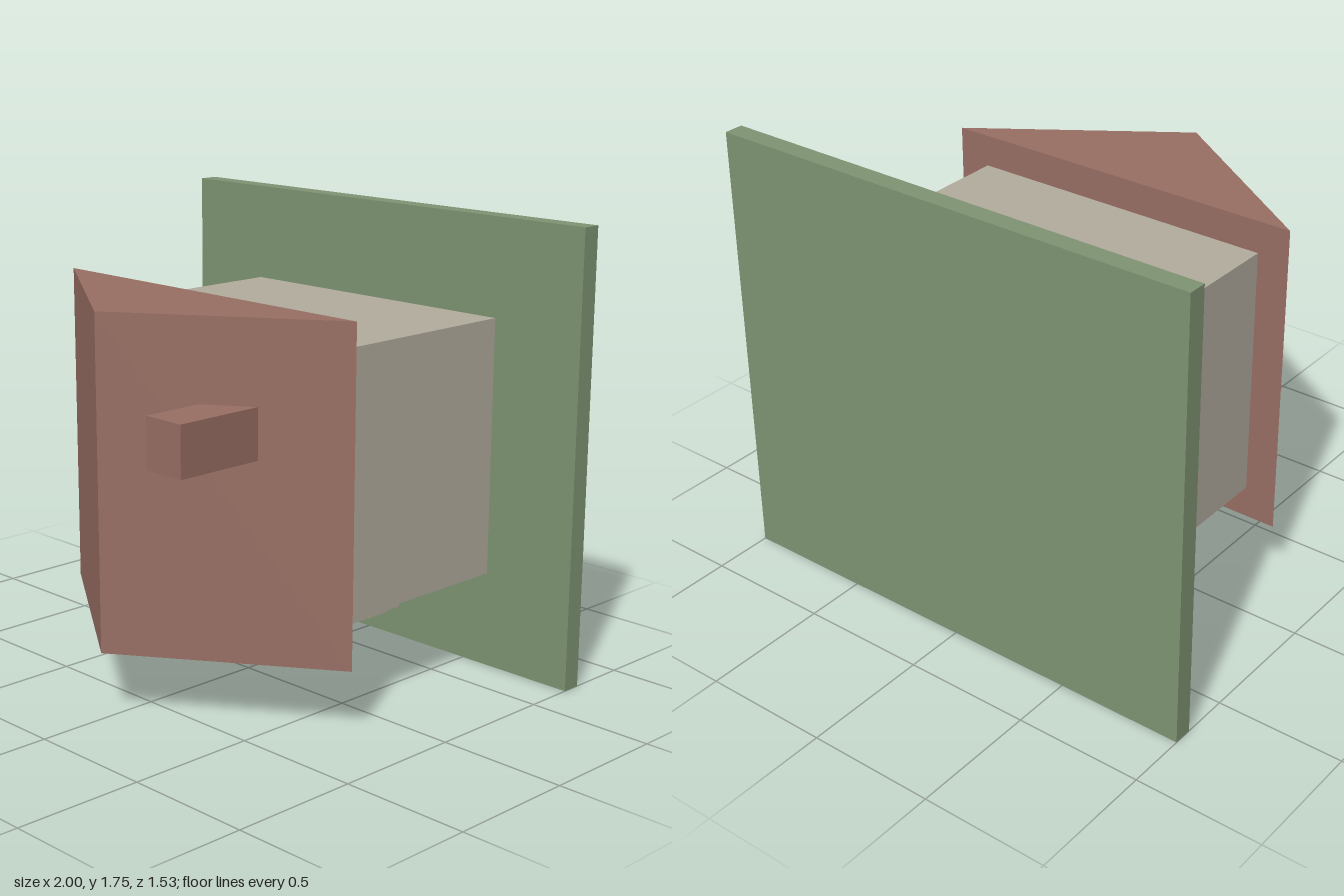
import * as THREE from 'three';

export function createModel() {
  const model = new THREE.Group();
  model.name = 'house';

  const material = (name, color) => {
    const m = new THREE.MeshStandardMaterial({ color });
    m.name = name;
    return m;
  };
  const red = material('brick red', 0x986e63);
  const cream = material('cream', 0xb2ac9e);
  const green = material('grass green', 0x7f9473);

  // Box given by its extents along each axis
  const box = (name, mat, [x0, x1], [y0, y1], [z0, z1]) => {
    const mesh = new THREE.Mesh(new THREE.BoxGeometry(x1 - x0, y1 - y0, z1 - z0), mat);
    mesh.position.set((x0 + x1) / 2, (y0 + y1) / 2, (z0 + z1) / 2);
    mesh.name = name;
    model.add(mesh);
    return mesh;
  };

  // The house lies on its back wall's side: its roof points to +z, its door to -y
  box('lawn', green, [-1, 1], [0, 1.75], [-0.764, -0.689]);
  box('walls', cream, [-0.623, 0.623], [0.38, 1.375], [-0.671, 0.218]);
  box('chimney', red, [0.3, 0.472], [1.0, 1.19], [0.3, 0.764]);

  // Gabled roof: a triangular prism along y
  const gable = new THREE.Shape([
    new THREE.Vector2(-0.75, -0.218),
    new THREE.Vector2(0.75, -0.218),
    new THREE.Vector2(0, -0.733),
  ]);
  const roofGeometry = new THREE.ExtrudeGeometry(gable, { depth: 1.247, bevelEnabled: false });
  roofGeometry.rotateX(-Math.PI / 2);
  const roof = new THREE.Mesh(roofGeometry, red);
  roof.position.y = 0.253;
  roof.name = 'roof';
  model.add(roof);

  // Door and knob
  box('door', red, [-0.36, -0.065], [0.345, 0.38], [-0.671, -0.09]);
  box('doorKnob', green, [-0.125, -0.1], [0.328, 0.345], [-0.382, -0.357]);

  // Window with four raised panes
  box('window', cream, [0.3, 0.565], [0.338, 0.38], [-0.233, 0.033]);
  for (const x of [0.38, 0.485]) {
    for (const z of [-0.155, -0.045]) {
      box('windowPane', cream, [x - 0.047, x + 0.047], [0.315, 0.338], [z - 0.048, z + 0.048]);
    }
  }

  return model;
}
